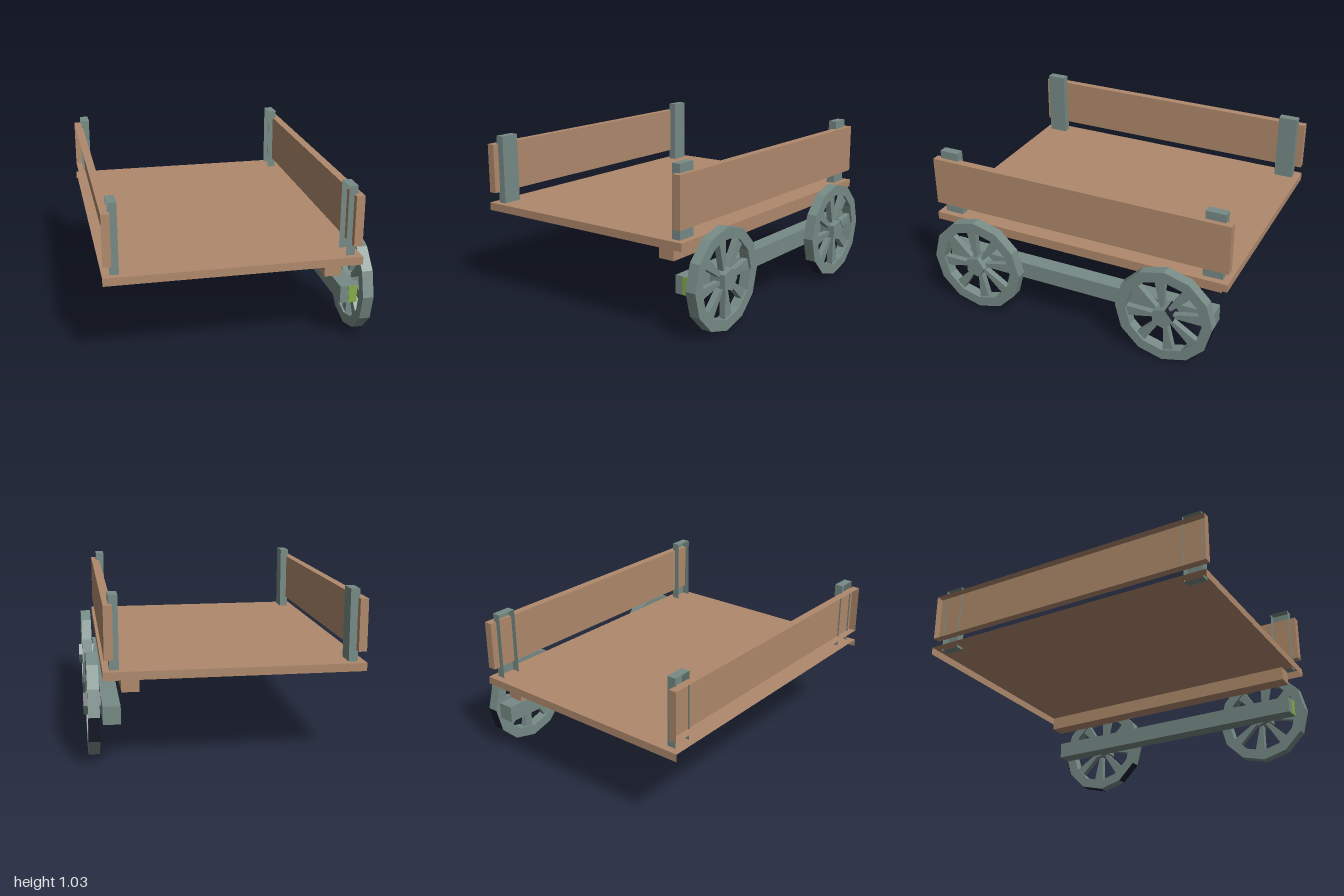
import * as THREE from 'three';

const mat = (name, color) => {
  const m = new THREE.MeshStandardMaterial({ color, side: THREE.DoubleSide, flatShading: true });
  m.name = name;
  return m;
};

export function createModel() {
  const wood = mat('brown wood', 0xb08a6c);
  const grey = mat('weathered grey', 0x778b86);
  const green = mat('green', 0x86ad48);
  const dark = mat('dark navy', 0x1c1c2e);
  const root = new THREE.Group();
  root.name = 'wagon';

  // Box from its limits; open lists missing sides (0 +x, 1 -x, 2 +y, 3 -y, 4 +z, 5 -z)
  function box(name, material, [x0, x1], [y0, y1], [z0, z1], open = []) {
    const geo = new THREE.BoxGeometry(x1 - x0, y1 - y0, z1 - z0);
    const index = Array.from(geo.index.array).filter((v, i) => !open.includes(Math.floor(i / 6)));
    geo.setIndex(index);
    geo.clearGroups();
    const mesh = new THREE.Mesh(geo, material);
    mesh.name = name;
    mesh.position.set((x0 + x1) / 2, (y0 + y1) / 2, (z0 + z1) / 2);
    root.add(mesh);
  }

  // Bed, open underneath and along one edge
  box('deck', wood, [-0.83, 0.717], [0.547, 0.597], [-1, 1], [1, 3]);
  box('deckBeam', wood, [0.505, 0.61], [0.457, 0.547], [-0.93, 0.93], [2]);

  // Side boards and their posts
  box('rightBoard', wood, [-0.825, -0.775], [0.665, 0.98], [-1, 1], [1]);
  box('leftBoard', wood, [0.655, 0.708], [0.665, 0.98], [-1, 1]);
  for (const [z0, z1] of [[0.835, 0.96], [-0.955, -0.83]]) {
    box('rightPost', grey, [-0.785, -0.73], [0.58, 1.032], [z0, z1], [1]);
    box('leftPost', grey, [0.622, 0.677], [0.58, 1.032], [z0, z1], [1]);
  }

  // Long rail carrying the wheels, with a green patch on its front end
  box('wheelRail', grey, [0.615, 0.72], [0.265, 0.375], [-0.93, 0.92]);
  box('railPatch', green, [0.667, 0.72], [0.266, 0.374], [0.92, 0.924]);

  const polar = (r, a) => new THREE.Vector2(r * Math.cos(a), r * Math.sin(a));
  const polygon = (r, n) => Array.from({ length: n }, (_, i) => polar(r, (i / n) * Math.PI * 2));

  // Extrudes a wheel part along the axle, centred on the wheel plane
  function disc(name, shape, depth, material = grey) {
    const geo = new THREE.ExtrudeGeometry(shape, { depth, bevelEnabled: false });
    geo.translate(0, 0, -depth / 2);
    const mesh = new THREE.Mesh(geo, material);
    mesh.name = name;
    return mesh;
  }

  // Thin plate over one side of an n-sided prism
  function sidePlate(name, r, n, i, depth) {
    const a = ((i + 0.5) / n) * Math.PI * 2;
    const plate = new THREE.Mesh(
      new THREE.BoxGeometry(0.003, 2 * r * Math.sin(Math.PI / n), depth), dark);
    plate.name = name;
    const p = polar(r * Math.cos(Math.PI / n) + 0.0005, a);
    plate.position.set(p.x, p.y, 0);
    plate.rotation.z = a;
    return plate;
  }

  function wheel(name, z) {
    const g = new THREE.Group();
    g.name = name;
    const rim = new THREE.Shape(polygon(0.316, 12));
    rim.holes.push(new THREE.Path(polygon(0.248, 12).reverse()));
    g.add(disc('rim', rim, 0.068));
    g.add(disc('hub', new THREE.Shape(polygon(0.072, 5)), 0.11));
    // Eight flared spokes, each with one radial edge
    const spoke = new THREE.Shape([
      polar(0.045, 0), polar(0.254, 0), polar(0.254, 0.27), polar(0.05, 0.42)]);
    for (let i = 0; i < 8; i++) {
      const s = disc('spoke', spoke, 0.04);
      s.rotation.z = (i * Math.PI) / 4;
      g.add(s);
    }
    g.rotation.y = Math.PI / 2;
    g.position.set(0.77, 0.318, z);
    root.add(g);
    return g;
  }

  wheel('frontWheel', 0.673);
  const back = wheel('backWheel', -0.637);
  // Dark patches on the back wheel
  for (const i of [7, 9, 11]) back.add(sidePlate('rimPatch', 0.316, 12, i, 0.068));
  back.add(sidePlate('hubPatch', 0.072, 5, 0, 0.11));

  return root;
}
